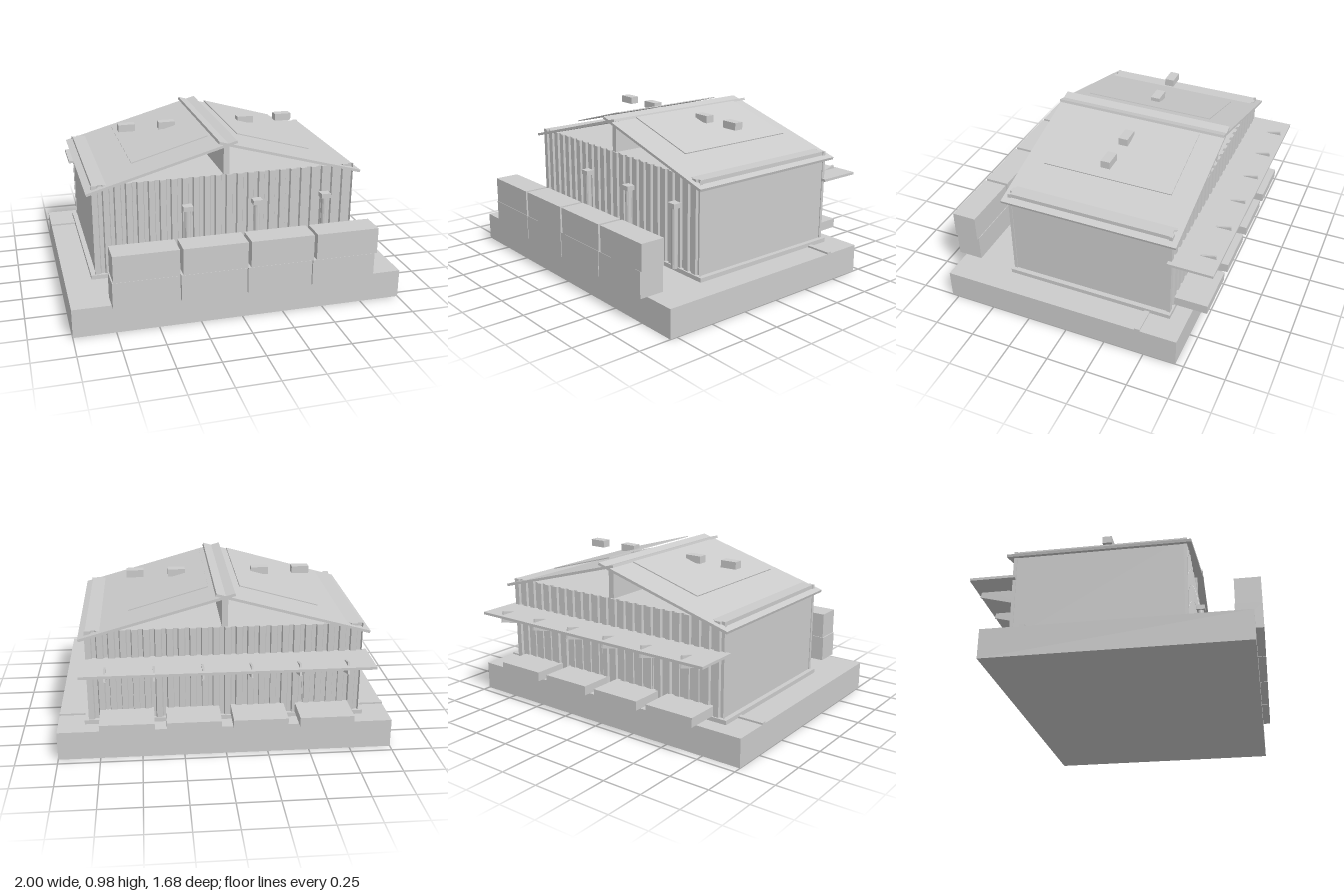
import * as THREE from 'three';

const grey = new THREE.MeshStandardMaterial({ color: 0xcccccc, flatShading: true });

export function createModel() {
  const model = new THREE.Group();
  model.name = 'warehouse';

  const add = (name, geometry) => {
    const mesh = new THREE.Mesh(geometry, grey);
    mesh.name = name;
    model.add(mesh);
    return mesh;
  };
  // Box given by its limits on each axis
  const box = (name, x0, x1, y0, y1, z0, z1) => {
    const mesh = add(name, new THREE.BoxGeometry(x1 - x0, y1 - y0, z1 - z0));
    mesh.position.set((x0 + x1) / 2, (y0 + y1) / 2, (z0 + z1) / 2);
    return mesh;
  };
  // Sloping slab between two points of the xy plane
  const slab = (name, ax, ay, bx, by, thickness, z0, z1) => {
    const mesh = add(name, new THREE.BoxGeometry(Math.hypot(bx - ax, by - ay), thickness, z1 - z0));
    mesh.position.set((ax + bx) / 2, (ay + by) / 2, (z0 + z1) / 2);
    mesh.rotation.z = Math.atan2(by - ay, bx - ax);
    return mesh;
  };

  // Ground, foundation and drain strip
  box('groundSlab', -1, 1, 0, 0.176, -0.7, 0.795);
  box('foundation', -0.84, 0.84, 0.176, 0.202, -0.6, 0.445);
  box('drainStrip', -1, 1, 0.17, 0.187, -0.475, -0.443);

  // Hall with an open attic and a ridge wall
  box('hall', -0.81, 0.81, 0.2, 0.765, -0.575, 0.42);
  box('ridgeWall', -0.018, 0.018, 0.765, 0.96, -0.578, 0.425);

  // Corrugated cladding on the front and back
  const ribs = 24, pitch = 1.63 / ribs, depth = 0.016;
  const profile = new THREE.Shape();
  profile.moveTo(-0.815, 0.004);
  for (let i = 0; i < ribs; i++) {
    const x = -0.815 + i * pitch;
    profile.lineTo(x, -depth);
    profile.lineTo(x + pitch * 0.5, -depth);
    profile.lineTo(x + pitch * 0.58, -0.002);
    profile.lineTo(x + pitch * 0.92, -0.002);
  }
  profile.lineTo(0.815, -depth);
  profile.lineTo(0.815, 0.004);
  const cladding = new THREE.ExtrudeGeometry(profile, { depth: 0.565, bevelEnabled: false });
  cladding.rotateX(-Math.PI / 2);
  add('frontCladding', cladding).position.set(0, 0.2, 0.42);
  const back = add('backCladding', cladding);
  back.position.set(0, 0.2, -0.575);
  back.rotation.y = Math.PI;

  // Roof slopes crossing at the ridge, solar panels and vents
  for (const [side, s] of [['left', 1], ['right', -1]]) {
    slab(side + 'Roof', -0.056 * s, 0.975, 0.85 * s, 0.722, 0.016, -0.625, 0.465);
    slab(side + 'SolarPanel', 0.092 * s, 0.981, 0.558 * s, 0.848, 0.006, -0.485, 0.325);
    for (const x of [0.26, 0.517]) {
      box(side + 'RoofVent', s * x - 0.053, s * x + 0.053, 0.93, 0.975, -0.11, -0.052);
    }
  }

  // Front pipes with square caps
  for (const x of [-0.25, 0.185, 0.625]) {
    add('pipe', new THREE.CylinderGeometry(0.02, 0.02, 0.37, 12)).position.set(x, 0.386, 0.459);
    box('pipeCap', x - 0.03, x + 0.03, 0.571, 0.6, 0.431, 0.487);
  }

  // Two layers of containers
  for (let i = 0; i < 4; i++) {
    const low = -0.772 + i * 0.395, high = -0.765 + i * 0.4;
    box('lowerContainer', low, low + 0.389, 0.176, 0.335, 0.687, 0.842);
    box('upperContainer', high, high + 0.381, 0.336, 0.496, 0.69, 0.842);
  }

  // Loading docks and their doors
  for (const x of [-0.585, -0.195, 0.195, 0.585]) {
    box('loadingDock', x - 0.16, x + 0.16, 0.205, 0.262, -0.795, -0.57);
    box('dockDoor', x - 0.12, x + 0.12, 0.26, 0.52, -0.584, -0.57);
  }

  // Canopy, with brackets that rise through it
  box('canopy', -0.845, 0.842, 0.577, 0.593, -0.842, -0.57);
  const bracket = new THREE.Shape([
    [0.58, 0.48], [0.825, 0.545], [0.81, 0.615], [0.58, 0.56],
  ].map(([z, y]) => new THREE.Vector2(z, y)));
  const bracketGeometry = new THREE.ExtrudeGeometry(bracket, { depth: 0.012, bevelEnabled: false });
  bracketGeometry.rotateY(Math.PI / 2);
  for (let i = 0; i < 6; i++) {
    const x = -0.687 + i * 0.277;
    add('canopyBracket', bracketGeometry).position.x = x - 0.006;
    box('bracketMount', x - 0.015, x + 0.015, 0.528, 0.562, -0.605, -0.575);
  }
  return model;
}
